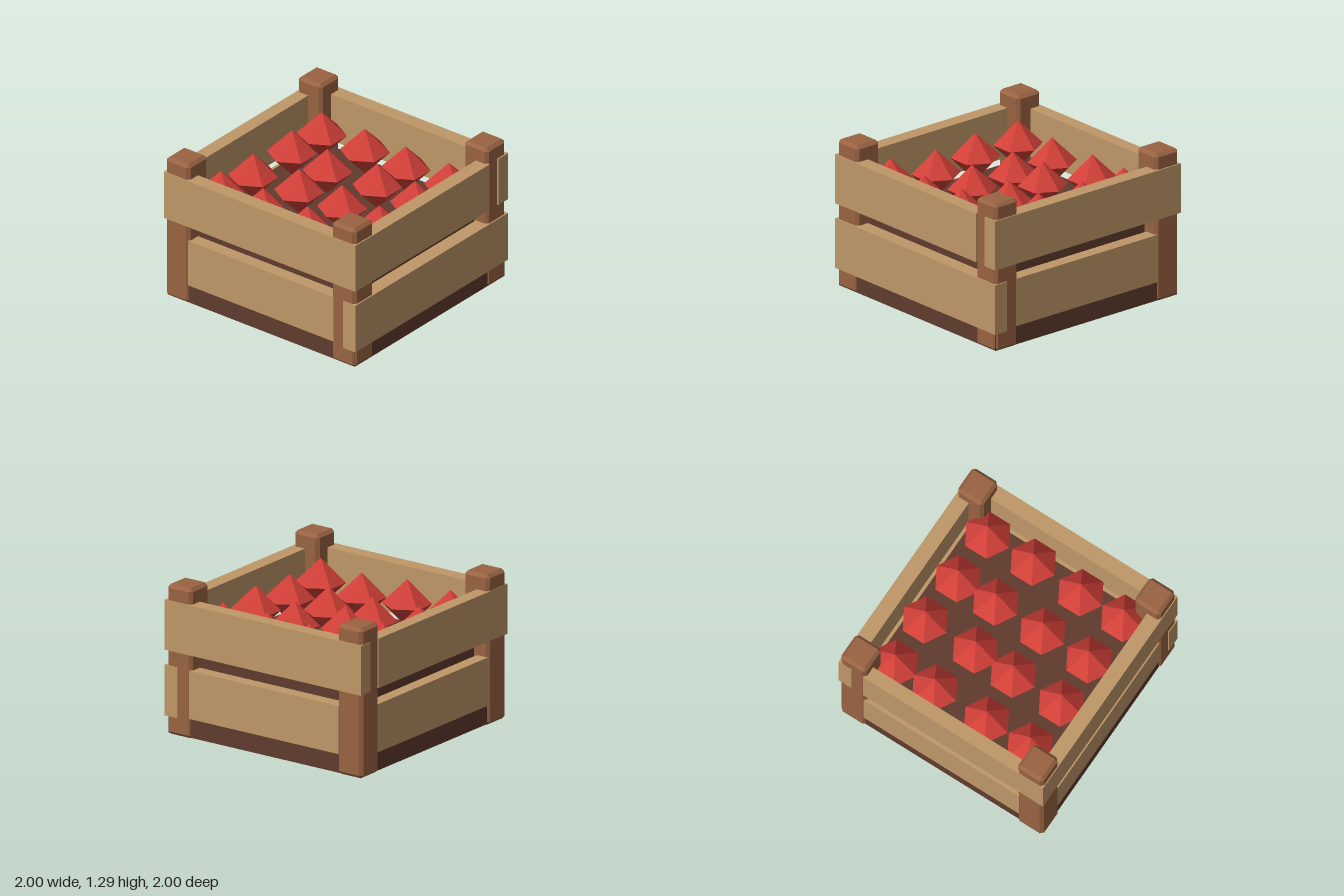
import * as THREE from 'three';
import { ConvexGeometry } from 'three/addons/geometries/ConvexGeometry.js';

const material = (name, color) => {
  const m = new THREE.MeshStandardMaterial({ color });
  m.name = name;
  return m;
};

// Box with every edge cut flat
function chamferedBox(w, h, d, c) {
  const points = [];
  for (const sx of [-1, 1]) for (const sy of [-1, 1]) for (const sz of [-1, 1]) {
    const [x, y, z] = [w / 2, h / 2, d / 2];
    points.push(
      new THREE.Vector3(sx * x, sy * (y - c), sz * (z - c)),
      new THREE.Vector3(sx * (x - c), sy * y, sz * (z - c)),
      new THREE.Vector3(sx * (x - c), sy * (y - c), sz * z)
    );
  }
  return new ConvexGeometry(points);
}

export function createModel() {
  const slatWood = material('light slat wood', 0xbf9768);
  const postWood = material('brown post wood', 0x996342);
  const baseWood = material('dark base wood', 0x5f3b2d);
  const red = material('red fruit', 0xd13f38);

  const crate = new THREE.Group();
  crate.name = 'fruitCrate';

  const add = (name, geometry, mat, x, y, z) => {
    const mesh = new THREE.Mesh(geometry, mat);
    mesh.name = name;
    mesh.position.set(x, y, z);
    crate.add(mesh);
  };
  // Box given by its limits on each axis
  const addBox = (name, mat, [x0, x1], [y0, y1], [z0, z1]) =>
    add(name, new THREE.BoxGeometry(x1 - x0, y1 - y0, z1 - z0), mat,
      (x0 + x1) / 2, (y0 + y1) / 2, (z0 + z1) / 2);

  // Base slab and the inner block the fruit rests on
  addBox('baseSlab', baseWood, [-0.978, 0.978], [0.015, 0.175], [-0.978, 0.978]);
  addBox('innerBlock', baseWood, [-0.845, 0.845], [0.1, 0.695], [-0.85, 0.85]);

  // Corner posts
  const post = chamferedBox(0.25, 1.29, 0.25, 0.027);
  add('frontRightPost', post, postWood, -0.867, 0.65, 0.863);
  add('frontLeftPost', post, postWood, 0.865, 0.65, 0.863);
  add('backRightPost', post, postWood, -0.867, 0.65, -0.87);
  add('backLeftPost', post, postWood, 0.863, 0.65, -0.87);

  // Upper slats: the side pair runs full length, the other pair stops at the left posts
  const upper = [0.73, 1.16];
  addBox('upperLeftSlat', slatWood, [0.87, 1], upper, [-1, 1]);
  addBox('upperRightSlat', slatWood, [-1, -0.872], upper, [-1, 1]);
  addBox('upperFrontSlat', slatWood, [-0.999, 0.76], [0.732, 1.158], [0.87, 0.999]);
  addBox('upperBackSlat', slatWood, [-0.999, 0.76], [0.732, 1.158], [-0.999, -0.88]);

  // Lower slats: full width in front, set between the posts elsewhere
  const lower = [0.177, 0.592];
  addBox('lowerFrontSlat', slatWood, [-1, 1], [0.165, 0.6], [0.87, 1]);
  addBox('lowerBackSlat', slatWood, [-0.76, 0.76], lower, [-0.99, -0.88]);
  addBox('lowerLeftSlat', slatWood, [0.87, 0.985], lower, [-0.76, 0.76]);
  addBox('lowerRightSlat', slatWood, [-0.985, -0.872], lower, [-0.76, 0.76]);

  // Faceted fruit in four uneven rows
  const fruit = new THREE.SphereGeometry(0.207, 6, 2).toNonIndexed();
  fruit.computeVertexNormals();
  const rows = [
    [-0.675, [-0.66, -0.235, 0.27, 0.66]],
    [-0.225, [-0.67, -0.2, 0.17, 0.66]],
    [0.22, [-0.645, -0.195, 0.265, 0.635]],
    [0.67, [-0.69, -0.27, 0.195, 0.64]]
  ];
  for (const [z, xs] of rows) for (const x of xs) {
    const lift = (x > 0.1 && x < 0.2) || x < -0.65 ? 0.025 : 0;
    add('fruit', fruit, red, x, 0.902 + lift, z);
  }
  return crate;
}
